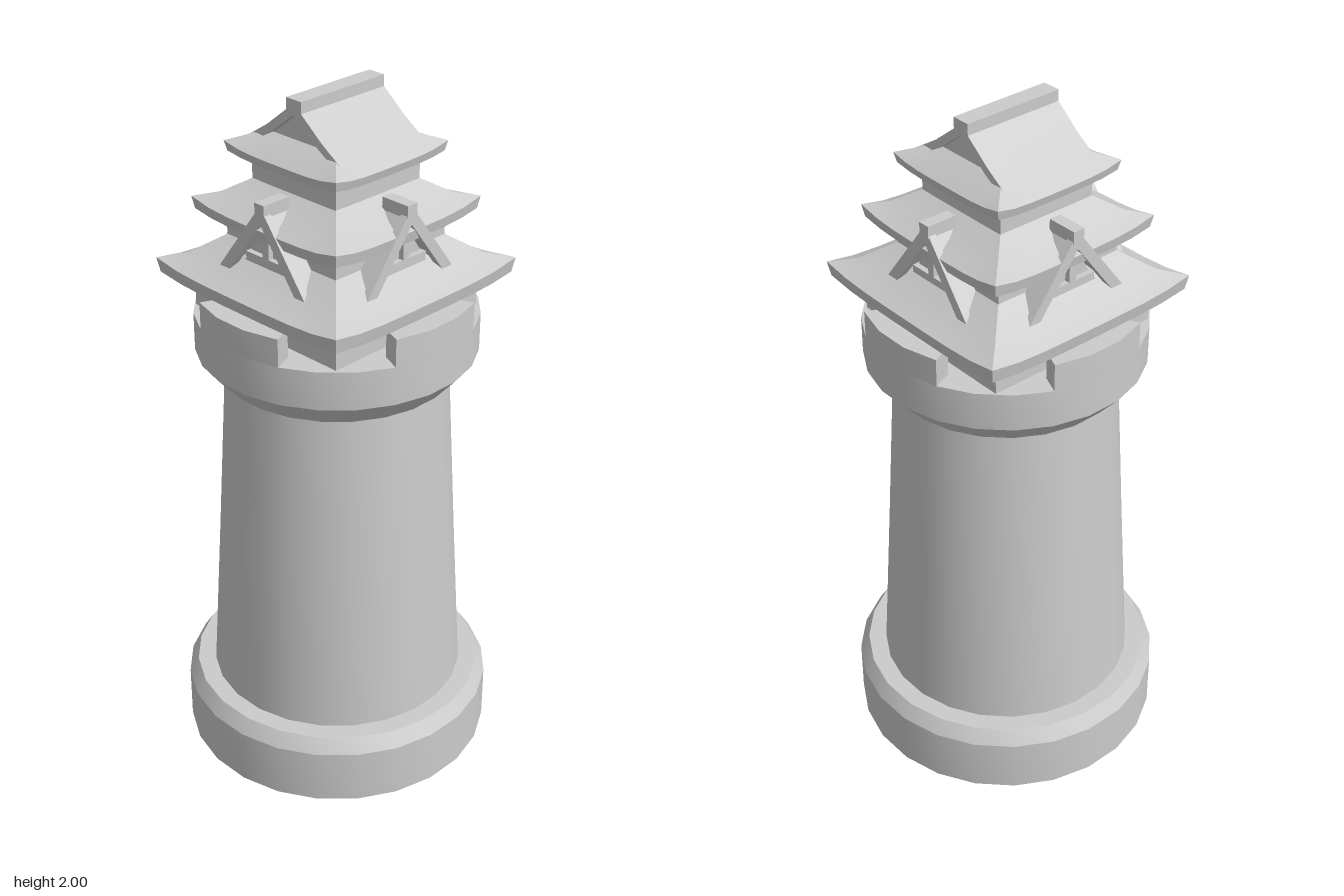
import * as THREE from 'three';
import { toCreasedNormals } from 'three/addons/utils/BufferGeometryUtils.js';

const SIDES = 24;
const material = new THREE.MeshStandardMaterial({ color: 0xcccccc });

function add(parent, name, geometry, crease = 0.5) {
  const mesh = new THREE.Mesh(toCreasedNormals(geometry, crease), material);
  mesh.name = name;
  parent.add(mesh);
  return mesh;
}

function box(parent, name, w, h, d, x, y, z) {
  const mesh = add(parent, name, new THREE.BoxGeometry(w, h, d));
  mesh.position.set(x, y, z);
  return mesh;
}

function lathe(parent, name, profile) {
  const points = profile.map(([r, y]) => new THREE.Vector2(r, y));
  return add(parent, name, new THREE.LatheGeometry(points, SIDES, Math.PI / SIDES));
}

function prism(points, depth) {
  const shape = new THREE.Shape(points.map(([x, y]) => new THREE.Vector2(x, y)));
  return new THREE.ExtrudeGeometry(shape, { depth, bevelEnabled: false });
}

// Square ring lofted through [halfWidth, height, cornerLift] rows
function squareRoof(parent, name, rows) {
  const n = 8, ring = n * 4, position = [], index = [];
  for (const [half, y, lift] of rows) {
    for (let side = 0; side < 4; side++) {
      const c = Math.cos(side * Math.PI / 2), s = Math.sin(side * Math.PI / 2);
      for (let k = 0; k < n; k++) {
        const u = (k / n) * 2 - 1;
        position.push((u * c + s) * half, y + lift * Math.abs(u) ** 4, (c - u * s) * half);
      }
    }
  }
  for (let i = 0; i < rows.length - 1; i++) {
    for (let j = 0; j < ring; j++) {
      const a = i * ring + j, b = i * ring + (j + 1) % ring;
      index.push(a, b, b + ring, a, b + ring, a + ring);
    }
  }
  const geometry = new THREE.BufferGeometry();
  geometry.setAttribute('position', new THREE.Float32BufferAttribute(position, 3));
  geometry.setIndex(index);
  return add(parent, name, geometry);
}

// Triangular dormer facing +z
function dormer() {
  const group = new THREE.Group();
  group.name = 'dormerGable';
  add(group, 'gableWall', prism([[-0.125, 1.52], [0.125, 1.52], [0, 1.70]], 0.09)).position.z = 0.15;
  for (const side of [-1, 1]) {
    const slope = Math.atan2(0.2, 0.15);
    const slab = box(group, 'dormerRoof', 0.24, 0.018, 0.1, side * 0.072, 1.632, 0.205);
    slab.rotation.z = -side * slope;
    const board = box(group, 'bargeBoard', 0.255, 0.03, 0.022, side * 0.075, 1.625, 0.262);
    board.rotation.z = -side * slope;
  }
  box(group, 'dormerRidge', 0.035, 0.035, 0.09, 0, 1.738, 0.23);
  box(group, 'tieBeam', 0.15, 0.016, 0.02, 0, 1.59, 0.246);
  box(group, 'kingPost', 0.022, 0.12, 0.02, 0, 1.65, 0.246);
  return group;
}

export function createModel() {
  const model = new THREE.Group();
  model.name = 'castleTower';

  // Round stone tower
  lathe(model, 'base', [[0, 0], [0.452, 0], [0.452, 0.165], [0.425, 0.208], [0.36, 0.208]]);
  lathe(model, 'shaft', [[0.373, 0.19], [0.342, 0.7], [0.312, 1.22]]);
  lathe(model, 'collar', [[0.305, 1.195], [0.33, 1.2], [0.392, 1.27], [0.392, 1.38], [0, 1.38]]);

  // Four parapet blocks leaving notches on the diagonals
  for (let i = 0; i < 4; i++) {
    const arc = [];
    for (let k = 0; k < 4; k++) arc.push([0.392, (k * 15 - 22.5) * Math.PI / 180]);
    for (let k = 3; k >= 0; k--) arc.push([0.33, (k * 15 - 22.5) * Math.PI / 180]);
    const geometry = prism(arc.map(([r, a]) => [r * Math.cos(a), r * Math.sin(a)]), 0.08);
    geometry.rotateX(-Math.PI / 2).rotateY(i * Math.PI / 2);
    add(model, 'merlon', geometry).position.y = 1.38;
  }

  // Three stacked storeys
  const keep = new THREE.Group();
  keep.name = 'keep';
  keep.position.z = -0.004;
  model.add(keep);
  for (const [width, bottom, top] of [[0.54, 1.37, 1.5], [0.41, 1.48, 1.69], [0.31, 1.67, 1.86]]) {
    box(keep, 'storeyWall', width, top - bottom, width, 0, (top + bottom) / 2, 0);
  }

  // Flared roofs with lifted corners
  squareRoof(keep, 'lowerRoof', [
    [0.24, 1.475, 0], [0.335, 1.463, 0.015], [0.342, 1.5, 0.02], [0.28, 1.53, 0.006], [0.19, 1.6, 0]]);
  squareRoof(keep, 'middleRoof', [
    [0.19, 1.66, 0], [0.264, 1.648, 0.015], [0.27, 1.678, 0.02], [0.215, 1.705, 0.006], [0.145, 1.755, 0]]);
  squareRoof(keep, 'upperEaves', [
    [0.14, 1.83, 0], [0.2, 1.815, 0.01], [0.206, 1.838, 0.015], [0.17, 1.862, 0.004], [0.13, 1.885, 0]]);

  for (let i = 0; i < 4; i++) {
    const gable = dormer();
    gable.rotation.y = i * Math.PI / 2;
    keep.add(gable);
  }

  // Top gable roof with its ridge running along x
  const right = [[0.18, 1.858], [0.1, 1.91], [0.05, 1.95], [0, 1.99]];
  const left = right.slice(0, 3).reverse().map(([z, y]) => [-z, y]);
  const under = [[-0.155, 1.85], [-0.09, 1.89], [0, 1.96], [0.09, 1.89], [0.155, 1.85]];
  const roof = prism([...right, ...left, ...under], 0.3);
  roof.translate(0, 0, -0.15).rotateY(Math.PI / 2);
  add(keep, 'topRoof', roof);
  const ends = prism([[-0.15, 1.85], [0.15, 1.85], [0, 1.97]], 0.25);
  ends.translate(0, 0, -0.125).rotateY(Math.PI / 2);
  add(keep, 'topGableWall', ends);
  box(keep, 'ridgeBeam', 0.3, 0.04, 0.054, 0, 1.98, 0);

  return model;
}
